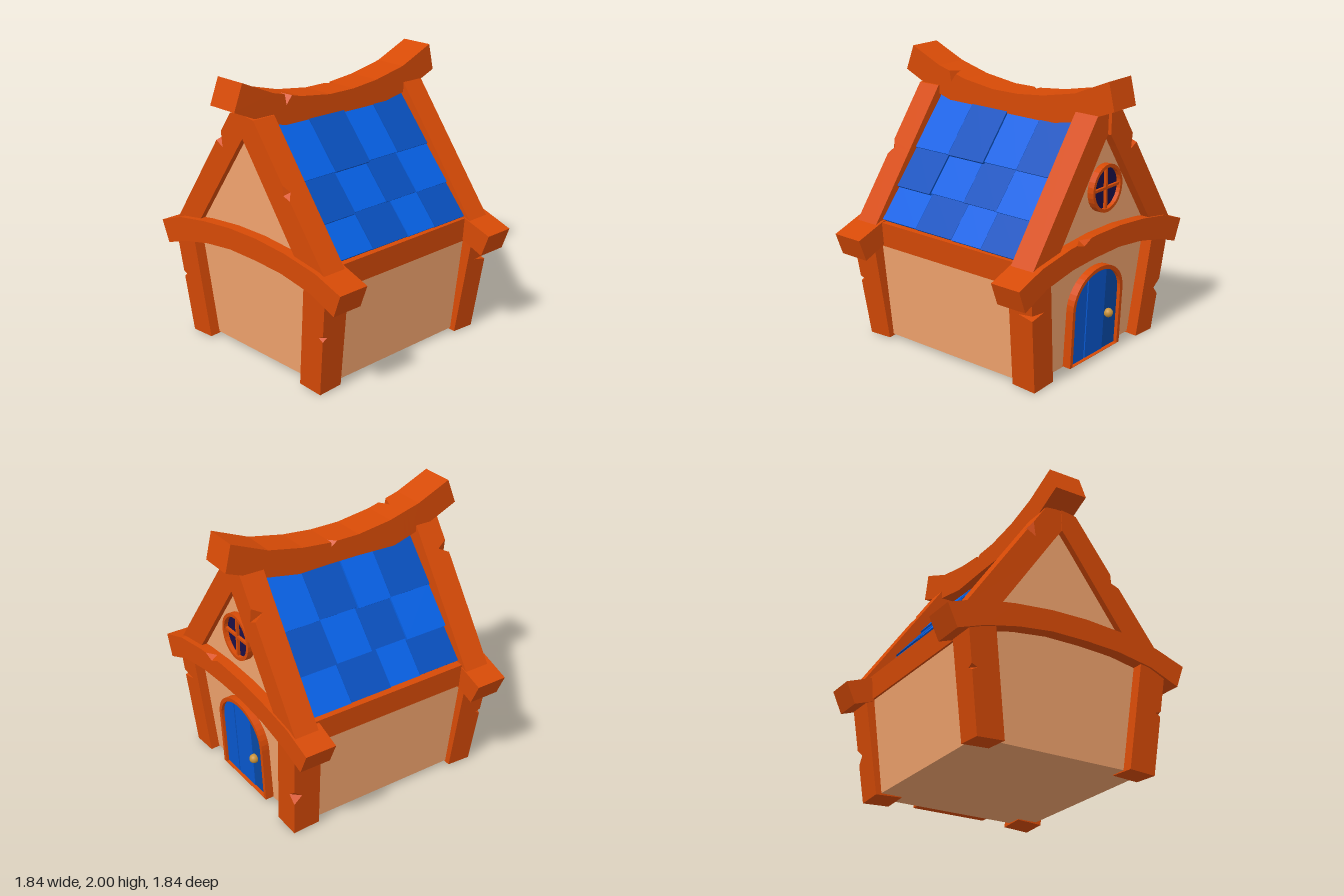
import * as THREE from 'three';

const V = (x, y, z) => new THREE.Vector3(x, y, z);
const mat = (color) => new THREE.MeshStandardMaterial({ color, flatShading: true });
const WOOD = mat(0xd64a06), WALL = mat(0xf2a46e), NAVY = mat(0x0b1e48), GLASS = mat(0x1a1048);
const BLUE = [mat(0x0660e4), mat(0x0850be)];
const DOOR = [mat(0x0858d0), mat(0x0858d0), mat(0x084aa6)];
const GOLD = new THREE.MeshStandardMaterial({ color: 0xc8923a });

// Closed faceted solid through a list of rings, wound outwards whatever their order
function loft(rings) {
  let tris = [];
  const n = rings[0].length, last = rings[rings.length - 1];
  for (let r = 0; r < rings.length - 1; r++) {
    for (let i = 0; i < n; i++) {
      const j = (i + 1) % n, a = rings[r], b = rings[r + 1];
      tris.push([a[i], a[j], b[j]], [a[i], b[j], b[i]]);
    }
  }
  for (let i = 1; i < n - 1; i++) {
    tris.push([rings[0][0], rings[0][i + 1], rings[0][i]], [last[0], last[i], last[i + 1]]);
  }
  tris = tris.filter(([a, b, c]) => b.clone().sub(a).cross(c.clone().sub(a)).length() > 1e-8);
  const volume = tris.reduce((s, [a, b, c]) => s + a.dot(b.clone().cross(c)), 0);
  if (volume < 0) tris.forEach((t) => t.reverse());
  const geo = new THREE.BufferGeometry().setFromPoints(tris.flat());
  geo.computeVertexNormals();
  return geo;
}

// Four-sided beam; each chip [t, corner, depth] nicks one long edge at t (0..1)
function beamGeometry(quads, chips = []) {
  const spans = quads.length - 1;
  const at = (t) => {
    const k = Math.min(Math.floor(t * spans), spans - 1);
    return quads[k].map((p, i) => p.clone().lerp(quads[k + 1][i], t * spans - k));
  };
  const stations = quads.map((_, i) => ({ t: i / spans }));
  for (const [t, corner, depth, half = 0.025] of chips) {
    stations.push({ t: t - half }, { t, corner, depth }, { t: t + half });
  }
  stations.sort((a, b) => a.t - b.t);
  return loft(stations.map(({ t, corner, depth }) => {
    const q = at(t);
    return q.flatMap((p, i) => {
      const d = i === corner ? depth : 0;
      return [p.clone().lerp(q[(i + 3) % 4], d), p.clone().lerp(q[(i + 1) % 4], d)];
    });
  }));
}

export function createModel() {
  const house = new THREE.Group();
  const add = (name, geo, material, parent = house) => {
    const mesh = new THREE.Mesh(geo, material);
    mesh.name = name;
    parent.add(mesh);
    return mesh;
  };
  const group = (name) => {
    const g = new THREE.Group();
    g.name = name;
    house.add(g);
    return g;
  };
  // Beam along a path of [z, y] edge pairs, given its width in x
  const sideBeam = (name, pairs, x0, x1, chips, material = WOOD, parent = house) =>
    add(name, beamGeometry(pairs.map(([a, b]) => [
      V(x1, a[1], a[0]), V(x0, a[1], a[0]), V(x0, b[1], b[0]), V(x1, b[1], b[0]),
    ]), chips), material, parent);

  // Plastered walls with gables, flaring outwards: [y, right x, left x, front z, back z]
  const wallRings = [[0.025, 0.69, -0.68, 0.63, -0.63], [0.8, 0.735, -0.725, 0.69, -0.71],
    [0.9, 0.75, -0.735, 0.59, -0.62], [1.61, 0.755, -0.735, 0.04, -0.07]];
  add('walls', loft(wallRings.map(([y, r, l, f, b]) => [V(r, y, f), V(l, y, f), V(l, y, b), V(r, y, b)])), WALL);

  // Leaning corner posts
  for (const sx of [1, -1]) {
    for (const sz of [1, -1]) {
      const ring = (y, xo, xi, zo, zi) => [V(sx * xo, y, sz * zo), V(sx * xi, y + 0.01, sz * zo),
        V(sx * xi, y + 0.02, sz * zi), V(sx * xo, y + 0.01, sz * zi)];
      const chip = sx > 0 ? (sz > 0 ? [0.7, 0, 0.6] : [0.41, 0, 0.3, 0.07]) : [0.54, 0, 0.2];
      const lean = sx > 0 && sz < 0 ? 0.015 : 0;
      add('cornerPost', beamGeometry([ring(0, 0.755 + lean, 0.57, 0.67, 0.475),
        ring(0.8, 0.805 + lean, sx > 0 ? 0.615 : 0.6, 0.775, 0.575)], [chip]), WOOD);
    }
  }

  // Arched tie beams across both gable ends
  const arch = [[[0.92, 0.81], [0.86, 0.65]], [[0.69, 0.89], [0.64, 0.74]], [[0.4, 0.937], [0.37, 0.787]],
    [[0.12, 0.957], [0.12, 0.8]], [[-0.15, 0.953], [-0.15, 0.8]], [[-0.43, 0.925], [-0.4, 0.77]],
    [[-0.7, 0.88], [-0.65, 0.715]], [[-0.92, 0.8], [-0.85, 0.645]]];
  sideBeam('archedBeam', arch, 0.602, 0.828, [[0.36, 0, 0.2, 0.04]]);
  sideBeam('archedBeam', arch, -0.815, -0.58);

  // Eave beams along front and back
  for (const [z0, z1] of [[0.56, 0.7], [-0.59, -0.73]]) {
    sideBeam('eaveBeam', [[[z0, 0.89], [z0, 0.71]], [[z1, 0.885], [z1 * 0.98, 0.71]]], -0.65, 0.65);
  }

  // Gable rafters, front and back slopes
  const frontRafter = [[[0.755, 0.85], [0.5, 0.87]], [[0.08, 1.745], [0.03, 1.515]], [[-0.04, 1.76], [-0.035, 1.6]]];
  const backRafter = [[[-0.785, 0.84], [-0.545, 0.87]], [[-0.16, 1.745], [-0.1, 1.51]], [[-0.04, 1.76], [-0.035, 1.6]]];
  sideBeam('rafter', frontRafter, 0.61, 0.79);
  sideBeam('rafter', backRafter, 0.638, 0.815, [[0.38, 0, 0.4, 0.02]]);
  sideBeam('rafter', frontRafter, -0.78, -0.6, [[0.27, 1, 0.2, 0.025]]);
  sideBeam('rafter', backRafter, -0.775, -0.585, [[0.4, 1, 0.4, 0.02]]);

  // Sagging ridge beam with upturned ends: [top x, top y, bottom x, bottom y]
  const ridge = [[-0.85, 2, -0.92, 1.82], [-0.6, 1.89, -0.65, 1.7], [-0.36, 1.825, -0.4, 1.625],
    [-0.1, 1.79, -0.1, 1.635], [0.12, 1.79, 0.12, 1.635], [0.34, 1.812, 0.37, 1.63],
    [0.6, 1.865, 0.64, 1.68], [0.87, 1.98, 0.915, 1.79]];
  add('ridgeBeam', beamGeometry(ridge.map(([tx, ty, bx, by]) => {
    const front = 0.075 + tx * 0.008, back = -0.168 + tx * 0.008;
    return [V(tx, ty, front), V(tx, ty, back), V(bx, by, back), V(bx, by, front)];
  }), [[0.22, 0, 0.35, 0.018], [0.57, 1, 0.2, 0.03]]), WOOD);

  // Roof slopes: dark underlay plus three rows of lapped tiles
  const frontColumns = [[-0.6, -0.28, 0.05, 0.31, 0.62], [-0.6, -0.29, 0.01, 0.3, 0.62], [-0.6, -0.29, 0.03, 0.31, 0.62]];
  const backColumns = [[-0.6, -0.25, 0, 0.325, 0.645], [-0.6, -0.25, 0.035, 0.32, 0.645], [-0.6, -0.25, 0.02, 0.325, 0.645]];
  const rows = [0.9, 1.11, 1.35, 1.7];
  for (const side of [1, -1]) {
    const roof = group(side > 0 ? 'frontRoof' : 'backRoof');
    const columns = side > 0 ? frontColumns : backColumns;
    // Point on the slope at height y, raised outwards by h
    const slope = (y, h) => [(side > 0 ? 0.645 : -0.66) - side * (y - 0.9) * 0.785 + side * h * 0.8, y + h * 0.6];
    sideBeam('roofUnderlay', [[slope(0.87, 0), slope(0.87, -0.04)], [slope(1.69, 0), slope(1.69, -0.04)]],
      -0.62, 0.64, [], NAVY, roof);
    for (let r = 0; r < 3; r++) {
      for (let c = 0; c < 4; c++) {
        const lift = ((r * 7 + c * 5) % 4) * 0.003;
        const y0 = rows[r] - 0.012 - lift, y1 = rows[r + 1] + 0.005;
        sideBeam('roofTile', [[slope(y0, 0.022 + lift), slope(y0, -0.005)], [slope(y1, 0.006 + lift), slope(y1, -0.005)]],
          columns[r][c] + 0.002, columns[r][c + 1] - 0.002, [], BLUE[(r + c + (side > 0 ? 0 : 1)) % 2], roof);
      }
    }
  }

  // Flat shape facing +x, extruded from x0 to x1
  const panel = (name, shape, x0, x1, material, parent) => {
    const geo = new THREE.ExtrudeGeometry(shape, { depth: x1 - x0, bevelEnabled: false, curveSegments: 14 });
    return add(name, geo.rotateY(Math.PI / 2).translate(x0, 0, 0), material, parent);
  };
  // Outline under an arch of half width w and height top, between a and b
  const archPoints = (w, top, a, b, base = 0.035) => {
    const pts = [new THREE.Vector2(a, base), new THREE.Vector2(b, base)];
    for (let i = 0; i <= 20; i++) {
      const u = b + (a - b) * (0.5 - 0.5 * Math.cos(Math.PI * i / 20));
      pts.push(new THREE.Vector2(u, 0.45 + (top - 0.45) * Math.sqrt(Math.max(0, 1 - (u / w) ** 2))));
    }
    return pts;
  };

  // Arched plank door with frame and knob, leaning with the wall
  const door = group('door');
  door.rotation.z = -0.045;
  door.position.set(-0.008, 0.032, 0);
  const frame = new THREE.Shape(archPoints(0.285, 0.69, -0.285, 0.285, 0.03));
  frame.holes.push(new THREE.Path(archPoints(0.257, 0.662, -0.257, 0.257, 0.032)));
  panel('doorFrame', frame, 0.67, 0.76, WOOD, door);
  panel('doorBacking', new THREE.Shape(archPoints(0.26, 0.665, -0.26, 0.26)), 0.67, 0.722, NAVY, door);
  [[-0.257, -0.106], [-0.094, 0.107], [0.107, 0.257]].forEach(([a, b], i) =>
    panel('doorPlank', new THREE.Shape(archPoints(0.257, 0.662, a, b)), 0.7, i === 2 ? 0.734 : 0.738, DOOR[i], door));
  add('doorKnob', new THREE.SphereGeometry(0.033, 20, 14), GOLD, door).position.set(0.75, 0.3, -0.145);

  // Round window with cross bars
  const windowGroup = group('roundWindow');
  windowGroup.position.set(0.04, 1.235, -0.038);
  const ring = new THREE.Shape().absarc(0, 0, 0.165, 0, Math.PI * 2);
  ring.holes.push(new THREE.Path().absarc(0, 0, 0.142, 0, Math.PI * 2, true));
  panel('windowFrame', ring, 0.69, 0.76, WOOD, windowGroup);
  panel('windowGlass', new THREE.Shape().absarc(0, 0, 0.15, 0, Math.PI * 2), 0.69, 0.73, GLASS, windowGroup);
  add('windowBarUpright', new THREE.BoxGeometry(0.04, 0.3, 0.018), WOOD, windowGroup).position.x = 0.73;
  add('windowBarLevel', new THREE.BoxGeometry(0.038, 0.018, 0.3), WOOD, windowGroup).position.x = 0.73;

  return house;
}
